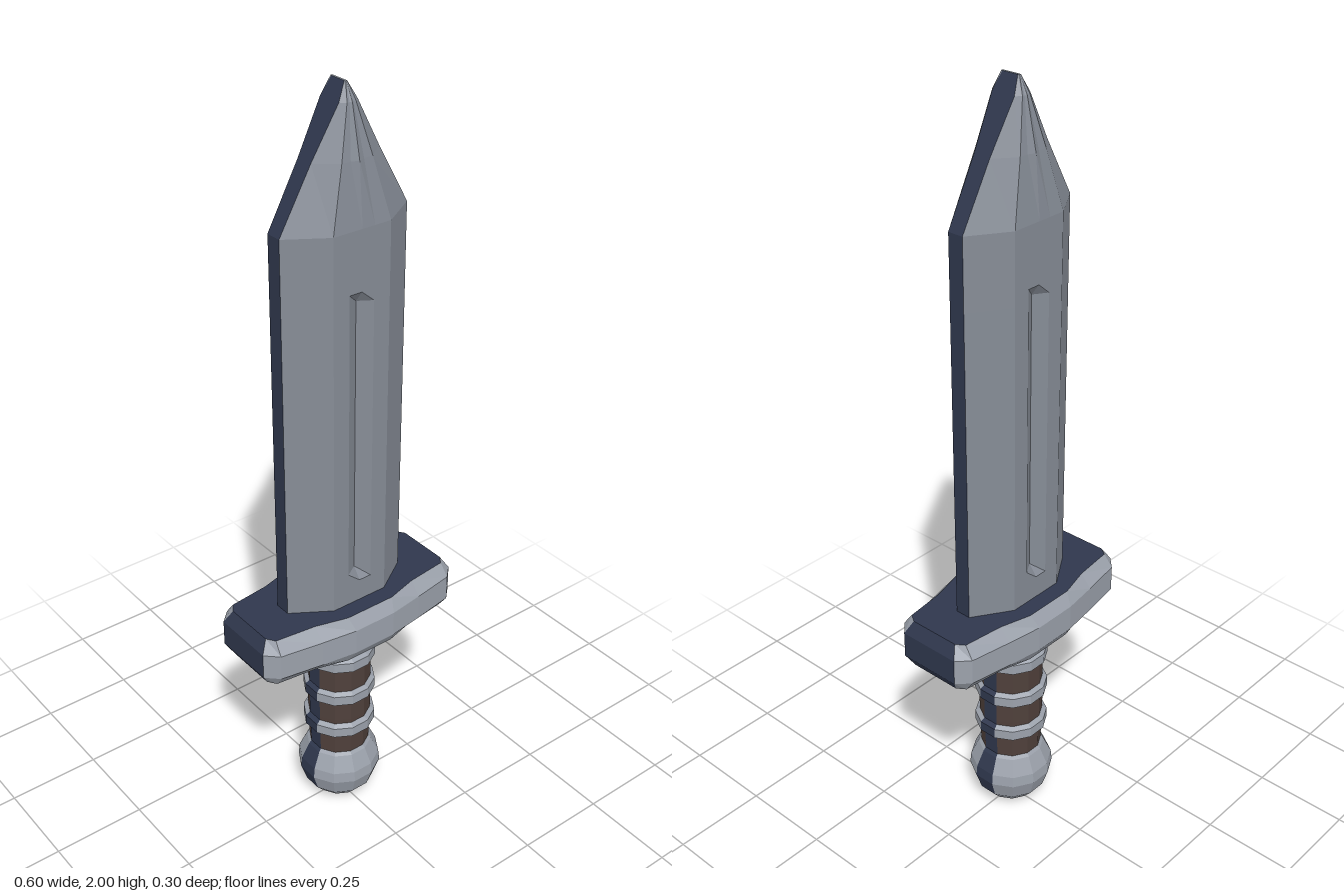
import * as THREE from 'three';

const steel = new THREE.MeshStandardMaterial({ color: 0x868c96 });
steel.name = 'blade steel';
const paleSteel = new THREE.MeshStandardMaterial({ color: 0x9ba1ab });
paleSteel.name = 'pale steel';
const navy = new THREE.MeshStandardMaterial({ color: 0x2f374d });
navy.name = 'dark navy';
const leather = new THREE.MeshStandardMaterial({ color: 0x4f403b });
leather.name = 'brown leather';

// Faceted solid through closed rings (bottom to top, each running from +x to +z).
// Quads listed in navySides and, if asked, the end caps take the navy material.
function loft(name, rings, main, navySides, navyCaps = false) {
  const faces = [[], []];
  const n = rings[0].length;
  const tri = (m, ...pts) => pts.forEach(p => faces[m].push(...p));
  for (let i = 0; i < rings.length - 1; i++) {
    for (let j = 0; j < n; j++) {
      const k = (j + 1) % n, m = navySides.includes(j) ? 1 : 0;
      const a = rings[i][j], b = rings[i][k], c = rings[i + 1][k], d = rings[i + 1][j];
      tri(m, a, d, c);
      tri(m, a, c, b);
    }
  }
  const bottom = rings[0], top = rings[rings.length - 1], cap = navyCaps ? 1 : 0;
  for (let j = 0; j < n; j++) {
    const k = (j + 1) % n;
    tri(cap, [0, bottom[0][1], 0], bottom[j], bottom[k]);
    tri(cap, [0, top[0][1], 0], top[k], top[j]);
  }
  const geo = new THREE.BufferGeometry();
  geo.setAttribute('position', new THREE.Float32BufferAttribute([...faces[0], ...faces[1]], 3));
  geo.addGroup(0, faces[0].length / 3, 0);
  geo.addGroup(faces[0].length / 3, faces[1].length / 3, 1);
  geo.computeVertexNormals();
  const mesh = new THREE.Mesh(geo, [main, navy]);
  mesh.name = name;
  return mesh;
}

// Front half of an outline, mirrored to the back.
function mirrored(y, front) {
  const back = front.map(([x, z]) => [x, -z]).reverse();
  return [...front, ...back].map(([x, z]) => [x, y, z]);
}

// Twelve-sided turned part; the facets facing +x and -x are navy.
function turned(name, profile, main) {
  const rings = profile.map(([r, y]) => Array.from({ length: 12 }, (_, j) => {
    const a = (j - 0.5) * Math.PI / 6;
    return [r * Math.cos(a), y, r * Math.sin(a)];
  }));
  return loft(name, rings, main, [0, 6]);
}

function makeBlade() {
  // y, edge half width, bevel x, groove x, edge z, face z, groove depth (negative = ridge)
  const rows = [
    [0.67, 0.178, 0.08, 0.035, 0.021, 0.084, 0],
    [0.75, 0.178, 0.08, 0.035, 0.021, 0.084, 0],
    [0.78, 0.178, 0.08, 0.035, 0.021, 0.084, 0.022],
    [1.51, 0.178, 0.08, 0.035, 0.021, 0.084, 0.022],
    [1.54, 0.178, 0.08, 0.035, 0.021, 0.084, 0],
    [1.69, 0.178, 0.08, 0.035, 0.021, 0.084, 0],
    [1.84, 0.093, 0.042, 0.018, 0.023, 0.064, -0.008],
    [1.96, 0.025, 0.012, 0.005, 0.032, 0.043, -0.003],
    [2.0, 0.003, 0.002, 0.001, 0.022, 0.026, 0],
  ];
  const rings = rows.map(([y, w, b, g, e, f, d]) => mirrored(y,
    [[w, e], [b, f], [g, f], [0, f - d], [-g, f], [-b, f], [-w, e]]));
  return loft('blade', rings, steel, [6, 13]);
}

function makeGuard() {
  const half = pts => [...pts, ...pts.map(([x, z]) => [-x, z]).reverse()];
  const inner = half([[0.28, 0.07], [0.265, 0.092], [0.155, 0.105], [0.07, 0.128]]);
  const outer = half([[0.3, 0.085], [0.268, 0.116], [0.155, 0.135], [0.06, 0.149]]);
  const rings = [[0.555, inner], [0.588, outer], [0.657, outer], [0.69, inner]]
    .map(([y, pts]) => mirrored(y, pts));
  return loft('crossguard', rings, paleSteel, [7, 15], true);
}

export function createModel() {
  const sword = new THREE.Group();
  sword.name = 'sword';
  sword.add(makeBlade(), makeGuard());

  // Grip with three raised rings
  sword.add(turned('grip', [[0.08, 0.16], [0.084, 0.3], [0.084, 0.57]], leather));
  [0.265, 0.375, 0.485].forEach((y, i) => {
    sword.add(turned('gripRing' + (i + 1),
      [[0.083, y - 0.023], [0.096, y - 0.014], [0.096, y + 0.014], [0.083, y + 0.023]], paleSteel));
  });

  // Rounded pommel
  sword.add(turned('pommel', [
    [0.025, 0], [0.065, 0.016], [0.095, 0.05], [0.112, 0.1],
    [0.109, 0.13], [0.088, 0.175], [0.075, 0.19],
  ], paleSteel));
  return sword;
}
